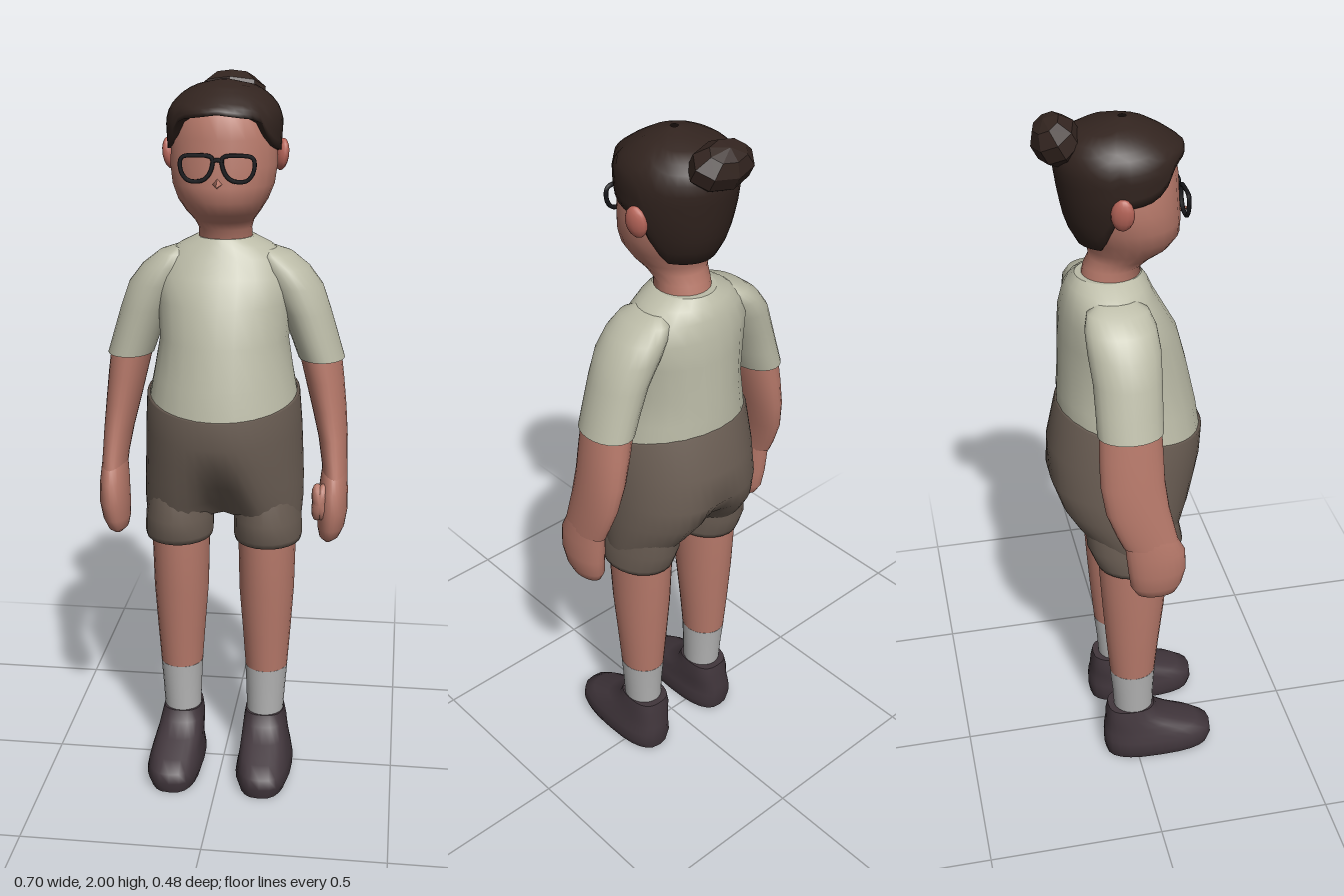
import * as THREE from 'three';

const mat = (color, extra = {}) => new THREE.MeshStandardMaterial({ color, side: THREE.DoubleSide, ...extra });
const skin = mat(0xb87a6b), earSkin = mat(0xb8665a), shirt = mat(0xbcbca8), cloth = mat(0x6c5f55);
const hair = mat(0x32241f), sock = mat(0xb4b4b4), leather = mat(0x41363c), frame = mat(0x17171b);
const bunHair = mat(0x32241f, { flatShading: true });

// Joins rings of n points into one smooth skin, with optional flat caps; rings run from top to bottom
function skinRings(rings, caps = true) {
  const n = rings[0].length, pos = rings.flat(2), idx = [];
  for (let r = 0; r < rings.length - 1; r++) {
    for (let i = 0; i < n; i++) {
      const a = r * n + i, b = r * n + (i + 1) % n;
      idx.push(a, b, a + n, b, b + n, a + n);
    }
  }
  if (caps) {
    [rings[0], rings[rings.length - 1]].forEach((ring, end) => {
      const start = pos.length / 3;
      const mid = [0, 1, 2].map(k => ring.reduce((s, p) => s + p[k], 0) / n);
      pos.push(...ring.flat(), ...mid);
      for (let i = 0; i < n; i++) {
        const a = start + i, b = start + (i + 1) % n;
        idx.push(start + n, ...(end ? [a, b] : [b, a]));
      }
    });
  }
  const g = new THREE.BufferGeometry();
  g.setAttribute('position', new THREE.Float32BufferAttribute(pos, 3));
  g.setIndex(idx);
  g.computeVertexNormals();
  return g;
}

// Elliptical rings: [y, cx, cz, rx, rz, front drop, centre pinch]; power below 1 squares them off
function loft(rows, { side = 1, power = 1, caps = true, n = 24 } = {}) {
  const bend = v => Math.sign(v) * Math.abs(v) ** power;
  return skinRings(rows.map(([y, cx, cz, rx, rz, drop = 0, pinch = 0]) =>
    Array.from({ length: n }, (_, i) => {
      const a = i / n * Math.PI * 2, c = bend(Math.cos(a)), s = bend(Math.sin(a));
      const x = side * cx + rx * c;
      return [x, y - drop * s, cz + rz * s * (1 - pinch * Math.exp(-((x / 0.07) ** 2)))];
    })), caps);
}

// Linear lookup in a list of [key, value...] rows
function lookup(rows, key, k = 1) {
  for (let i = 1; i < rows.length; i++) {
    if (key <= rows[i][0]) {
      const [a, b] = [rows[i - 1], rows[i]];
      return THREE.MathUtils.lerp(a[k], b[k], Math.max(0, (key - a[0]) / (b[0] - a[0])));
    }
  }
  return rows[rows.length - 1][k];
}

// Hair cap: a dome cut off along a hairline that drops behind the ears
function hairCap() {
  const hairline = [[0, 1.905], [0.75, 1.89], [1.0, 1.83], [1.3, 1.81], [1.75, 1.8], [1.95, 1.71], [2.2, 1.67], [3.15, 1.665]];
  // height, half width, front z, back z
  const dome = [[1.66, 0.1, 0.1, -0.125], [1.72, 0.128, 0.13, -0.158], [1.8, 0.15, 0.145, -0.175], [1.88, 0.155, 0.147, -0.187],
    [1.915, 0.145, 0.143, -0.183], [1.945, 0.12, 0.1, -0.16], [1.97, 0.08, 0.055, -0.11], [1.985, 0.01, 0, -0.02]];
  const n = 40, steps = 12, rings = [];
  for (let r = 0; r <= steps + 1; r++) {
    const t = Math.min(1, r / steps), lip = r > steps ? 0.85 : 1;
    rings.push(Array.from({ length: n }, (_, i) => {
      const a = i / n * Math.PI * 2;
      const fromFront = Math.acos(THREE.MathUtils.clamp(Math.sin(a), -1, 1));
      const y = THREE.MathUtils.lerp(1.985, lookup(hairline, fromFront), t ** 1.5);
      const front = lookup(dome, y, 2), back = lookup(dome, y, 3);
      return [lookup(dome, y) * Math.cos(a) * lip,
        y, (front + back) / 2 + (front - back) / 2 * Math.sin(a) * lip];
    }));
  }
  return skinRings(rings, false);
}

export function createModel() {
  const model = new THREE.Group();
  model.name = 'standingPerson';
  const add = (name, geometry, material) => {
    const m = new THREE.Mesh(geometry, material);
    m.name = name;
    model.add(m);
    return m;
  };
  const ball = (name, material, p, size) => {
    const m = add(name, new THREE.SphereGeometry(1, 12, 8), material);
    m.position.set(...p);
    m.scale.set(...size);
    return m;
  };

  // Head and neck
  add('head', loft([[1.95, 0, -0.02, 0.07, 0.09], [1.91, 0, -0.015, 0.12, 0.135], [1.84, 0, -0.01, 0.14, 0.14],
    [1.77, 0, -0.002, 0.143, 0.136], [1.72, 0, 0.005, 0.136, 0.133], [1.68, 0, 0.012, 0.12, 0.124],
    [1.645, 0, 0.005, 0.098, 0.106], [1.62, 0, -0.015, 0.08, 0.085], [1.595, 0, -0.038, 0.072, 0.075],
    [1.54, 0, -0.045, 0.076, 0.08]]), skin);
  const nose = add('nose', new THREE.ConeGeometry(0.022, 0.06, 4), skin);
  nose.position.set(0, 1.73, 0.14);
  nose.rotation.x = 1.75;
  add('hair', hairCap(), hair);
  const bun = add('hairBun', new THREE.SphereGeometry(1, 8, 5), bunHair);
  bun.position.set(0, 1.937, -0.175);
  bun.scale.set(0.096, 0.062, 0.064);
  bun.rotation.set(-0.5, 0, 0);

  // Glasses: two rounded rims joined by a bridge
  const tube = (name, pts, closed) => add(name, new THREE.TubeGeometry(
    new THREE.CatmullRomCurve3(pts.map(([x, y]) => new THREE.Vector3(x, y, 0.139)), closed), closed ? 40 : 6, 0.006, 6, closed), frame);
  const rim = [[0.014, 1.798], [0.05, 1.804], [0.092, 1.798], [0.094, 1.765], [0.076, 1.741], [0.038, 1.741], [0.018, 1.762]];
  tube('glassesBridge', [[-0.015, 1.788], [0, 1.793], [0.015, 1.788]], false);

  // Shirt body and shorts seat
  add('shirtBody', loft([[1.572, 0, -0.048, 0.08, 0.088], [1.55, 0, -0.05, 0.125, 0.105], [1.52, 0, -0.05, 0.165, 0.118],
    [1.47, 0, -0.042, 0.19, 0.138], [1.4, 0, -0.025, 0.185, 0.16], [1.3, 0, -0.013, 0.178, 0.175],
    [1.21, 0, -0.002, 0.193, 0.19, 0.025], [1.14, 0, 0.005, 0.206, 0.197, 0.043]]), shirt);
  add('shortsSeat', loft([[1.152, 0, 0.005, 0.204, 0.194, 0.043], [1.15, 0, 0.005, 0.212, 0.202, 0.043],
    [1.05, 0, -0.01, 0.219, 0.213, 0.02], [0.97, 0, -0.02, 0.222, 0.214, 0, 0.06], [0.9, 0, -0.02, 0.225, 0.2, 0, 0.25],
    [0.84, 0, -0.012, 0.225, 0.172, 0, 0.55], [0.785, 0, -0.002, 0.221, 0.14, 0, 0.97]], { caps: false, n: 48 }), cloth);

  for (const side of [1, -1]) {
    const label = part => (side > 0 ? 'left' : 'right') + part;
    const limb = (part, rows, material, opts) => add(label(part), loft(rows, { side, ...opts }), material);
    tube(label('GlassesRim'), rim.map(([x, y]) => [x * side, y]), true);
    const ear = ball(label('Ear'), earSkin, [0.15 * side, 1.79, -0.04], [0.018, 0.043, 0.03]);
    ear.rotation.set(0.1, 0.35 * side, -0.15 * side);

    // Sleeve, arm and hand
    limb('Sleeve', [[1.54, 0.12, -0.05, 0.02, 0.05], [1.525, 0.135, -0.05, 0.05, 0.08], [1.49, 0.16, -0.048, 0.07, 0.093],
      [1.44, 0.19, -0.045, 0.078, 0.095], [1.37, 0.222, -0.043, 0.07, 0.09], [1.3, 0.247, -0.044, 0.066, 0.088],
      [1.24, 0.267, -0.045, 0.064, 0.087]], shirt);
    limb('Arm', [[1.26, 0.262, -0.045, 0.059, 0.082], [1.18, 0.277, -0.045, 0.054, 0.085], [1.1, 0.291, -0.044, 0.048, 0.086],
      [1.02, 0.304, -0.033, 0.041, 0.085], [0.95, 0.311, -0.012, 0.036, 0.08], [0.91, 0.313, 0.002, 0.035, 0.076]], skin);
    limb('Hand', [[0.93, 0.312, 0, 0.035, 0.07], [0.88, 0.311, 0.015, 0.04, 0.081], [0.82, 0.31, 0.02, 0.042, 0.079],
      [0.77, 0.306, 0.018, 0.038, 0.07], [0.74, 0.302, 0.02, 0.028, 0.055], [0.728, 0.3, 0.02, 0.014, 0.035]], skin);
    const thumb = ball(label('Thumb'), skin, [0.277, 0.85, 0.065], [0.022, 0.055, 0.03]);
    thumb.rotation.z = 0.2 * side;

    // Shorts leg with a turned-in hem, bare leg and sock
    limb('ShortsLeg', [[0.87, 0.125, -0.012, 0.085, 0.13], [0.79, 0.126, -0.002, 0.096, 0.136], [0.735, 0.127, 0.002, 0.097, 0.118],
      [0.72, 0.127, 0.002, 0.094, 0.112], [0.722, 0.126, 0, 0.078, 0.095]], cloth, { caps: false });
    limb('Leg', [[0.8, 0.125, -0.005, 0.083, 0.1], [0.7, 0.124, -0.005, 0.082, 0.1], [0.56, 0.124, -0.006, 0.079, 0.09],
      [0.42, 0.125, -0.008, 0.069, 0.077], [0.31, 0.125, -0.008, 0.061, 0.067]], skin);
    limb('Sock', [[0.315, 0.125, -0.008, 0.062, 0.068], [0.24, 0.124, -0.006, 0.057, 0.062], [0.15, 0.122, -0.004, 0.053, 0.058]], sock);

    // Shoe with a low toe
    limb('Shoe', [[0.172, 0.122, -0.012, 0.056, 0.07], [0.14, 0.123, -0.008, 0.062, 0.08], [0.11, 0.125, 0.018, 0.066, 0.108],
      [0.085, 0.128, 0.05, 0.07, 0.145], [0.06, 0.13, 0.069, 0.075, 0.166], [0.03, 0.13, 0.071, 0.081, 0.167],
      [0, 0.129, 0.07, 0.07, 0.16]], leather, { power: 0.75 });
  }
  return model;
}
